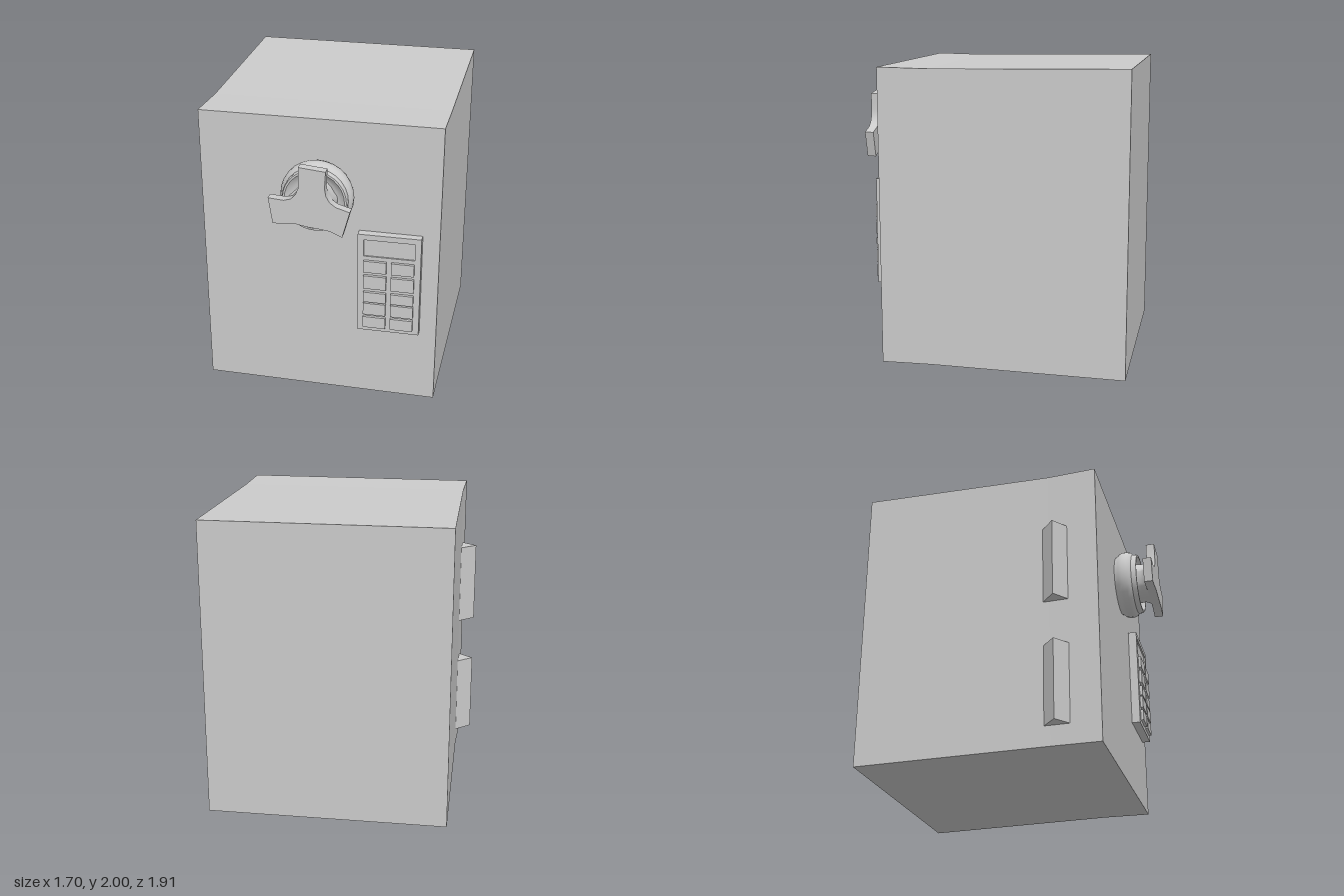
import * as THREE from 'three';
import { toCreasedNormals } from 'three/addons/utils/BufferGeometryUtils.js';

const material = new THREE.MeshStandardMaterial({ color: 0xcccccc });

function addMesh(parent, name, geometry, x = 0, y = 0, z = 0) {
  const mesh = new THREE.Mesh(geometry, material);
  mesh.name = name;
  mesh.position.set(x, y, z);
  parent.add(mesh);
  return mesh;
}

// Joins anticlockwise sections running from back to front and caps both ends
function loft(sections, crease) {
  const n = sections[0].length, pos = [];
  const tri = (...pts) => pts.forEach((p) => pos.push(...p));
  for (let k = 0; k + 1 < sections.length; k++) {
    for (let i = 0; i < n; i++) {
      const j = (i + 1) % n, a = sections[k], b = sections[k + 1];
      tri(a[i], a[j], b[j]);
      tri(a[i], b[j], b[i]);
    }
  }
  const back = sections[0], front = sections[sections.length - 1];
  for (let i = 1; i + 1 < n; i++) {
    tri(back[0], back[i + 1], back[i]);
    tri(front[0], front[i], front[i + 1]);
  }
  const g = new THREE.BufferGeometry();
  g.setAttribute('position', new THREE.Float32BufferAttribute(pos, 3));
  g.computeVertexNormals();
  return crease ? toCreasedNormals(g, crease) : g;
}

const toShape = (pts) => new THREE.Shape(pts.map((p) => new THREE.Vector2(p[0], p[1])));

const rectangle = (x0, y0, x1, y1) => [[x0, y0], [x1, y0], [x1, y1], [x0, y1]];

function extrude(shape, depth) {
  return new THREE.ExtrudeGeometry(shape, { depth, bevelEnabled: false });
}

// Slightly tapered cabinet: left, right, bottom, top, z at left, z at right
function makeBody() {
  const rows = [
    [-0.755, 0.847, 0, 2, -0.955, -0.944],
    [-0.746, 0.831, 0.018, 1.984, 0.345, 0.355],
    [-0.757, 0.827, 0.015, 1.99, 0.675, 0.688],
  ];
  return loft(rows.map(([l, r, b, t, zl, zr]) =>
    [[l, b, zl], [r, b, zr], [r, t, zr], [l, t, zl]]));
}

function makeKeypad() {
  const keypad = new THREE.Group();
  keypad.name = 'keypad';
  // Panel with a shallow display window
  const panel = toShape(rectangle(0.3, 0.535, 0.715, 1.245));
  panel.holes.push(toShape(rectangle(0.34, 1.09, 0.677, 1.207)));
  addMesh(keypad, 'keypadPanel', extrude(panel, 0.075), 0, 0, 0.667);
  addMesh(keypad, 'display', new THREE.BoxGeometry(0.337, 0.117, 0.063), 0.5085, 1.1485, 0.7);
  // Five rows of two buttons
  const rows = [[0.98, 1.063], [0.86, 0.955], [0.76, 0.833], [0.665, 0.75], [0.567, 0.647]];
  for (const [bottom, top] of rows) {
    for (const x of [0.418, 0.6]) {
      addMesh(keypad, 'button', new THREE.BoxGeometry(0.15, top - bottom, 0.04),
        x, (bottom + top) / 2, 0.742);
    }
  }
  return keypad;
}

function makeDial() {
  const dial = new THREE.Group();
  dial.name = 'dial';
  const cx = 0.037, cy = 1.497;

  // Rounded base with a raised, dished rim
  const profile = [
    [0, 0.67], [0.205, 0.67], [0.212, 0.69], [0.23, 0.71], [0.238, 0.735], [0.238, 0.765],
    [0.231, 0.785], [0.213, 0.799], [0.213, 0.825], [0.207, 0.835], [0.195, 0.836],
    [0.175, 0.818], [0.15, 0.805], [0, 0.8],
  ];
  const base = new THREE.LatheGeometry(profile.map((p) => new THREE.Vector2(...p)), 28);
  base.rotateX(Math.PI / 2);
  addMesh(dial, 'dialBase', toCreasedNormals(base.toNonIndexed(), 0.75), cx, cy, 0);

  // Three-armed grip
  const outline = [
    [-0.035, 1.77], [-0.035, 1.635], [-0.055, 1.585], [-0.085, 1.553], [-0.13, 1.54],
    [-0.232, 1.548], [-0.205, 1.376], [-0.13, 1.376], [-0.055, 1.383], [0.015, 1.37],
    [0.1, 1.362], [0.165, 1.352], [0.241, 1.318], [0.29, 1.495], [0.2, 1.522],
    [0.162, 1.55], [0.138, 1.592], [0.131, 1.64], [0.137, 1.753],
  ];
  addMesh(dial, 'gripPlate', toCreasedNormals(extrude(toShape(outline), 0.06), 0.6), 0, 0, 0.895);

  // Flared neck: the grip outline limited to a changing radius
  const rings = [[0.79, 0.15], [0.82, 0.14], [0.855, 0.136], [0.88, 0.145], [0.9, 0.165]];
  addMesh(dial, 'gripNeck', loft(rings.map(([z, limit]) => outline.map(([x, y]) => {
    const dx = x - cx, dy = y - cy;
    const s = Math.min(1, limit / Math.hypot(dx, dy));
    return [cx + dx * s, cy + dy * s, z];
  })), 0.9));
  return dial;
}

export function createModel() {
  const model = new THREE.Group();
  model.name = 'safe';
  addMesh(model, 'body', makeBody());

  // Wedge-shaped hinges on the right side
  const wedge = toShape([[-0.85, -0.395], [-0.735, -0.485], [-0.735, -0.295]]);
  for (const y of [0.155, 1.02]) {
    addMesh(model, 'hinge', extrude(wedge, 0.55), 0, y, 0).rotation.x = -Math.PI / 2;
  }

  model.add(makeKeypad(), makeDial());
  return model;
}
